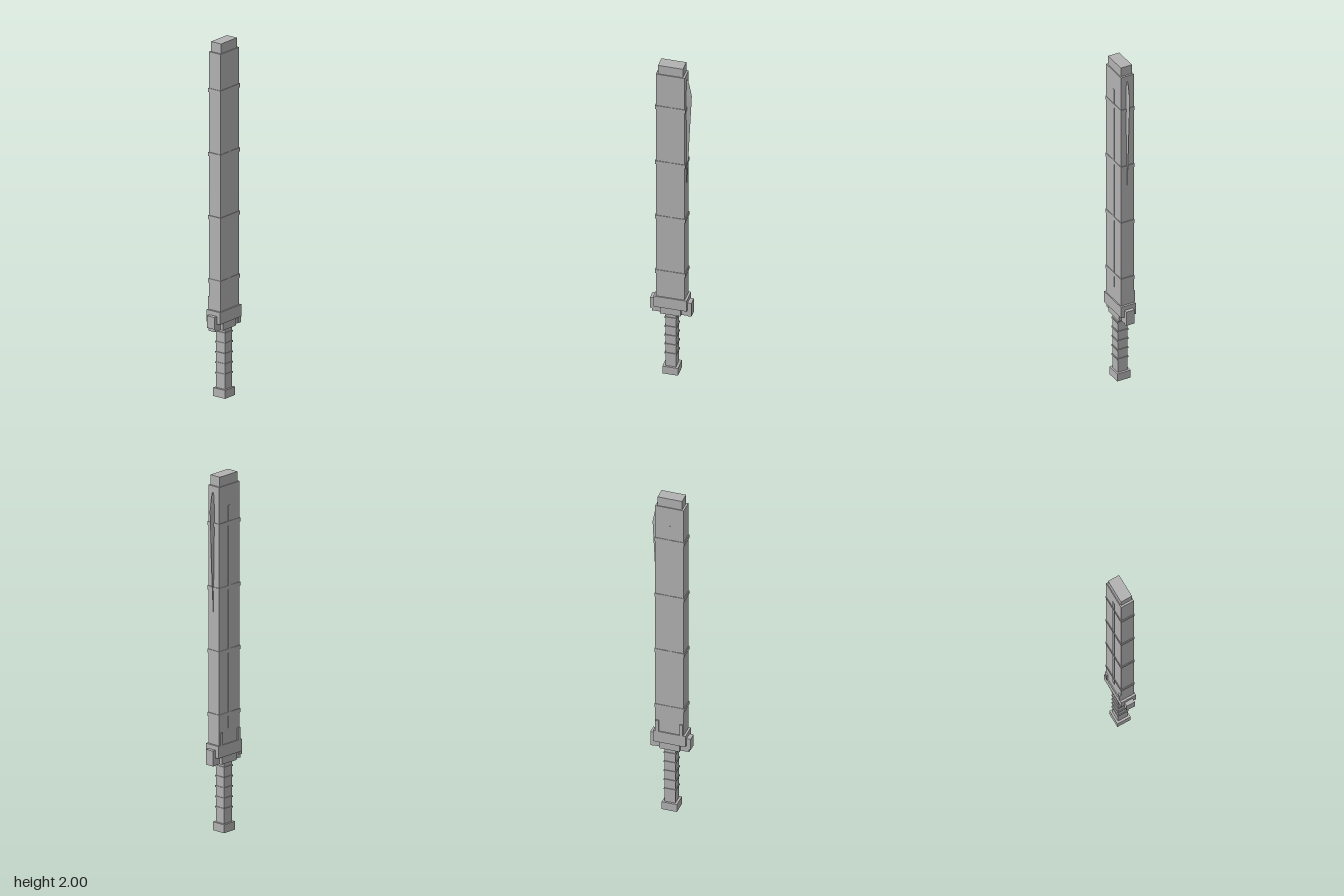
import * as THREE from 'three';

export function createModel() {
  const model = new THREE.Group();
  const grey = new THREE.MeshStandardMaterial({ color: 0xb2b2b2 });
  grey.name = 'plain grey';
  grey.flatShading = true;

  const add = (name, geometry) => {
    const mesh = new THREE.Mesh(geometry, grey);
    mesh.name = name;
    model.add(mesh);
    return mesh;
  };
  // Box given by its limits on each axis
  const box = (name, x0, x1, y0, y1, z0, z1) => {
    const g = new THREE.BoxGeometry(x1 - x0, y1 - y0, z1 - z0);
    g.translate((x0 + x1) / 2, (y0 + y1) / 2, (z0 + z1) / 2);
    return add(name, g);
  };
  // Box centred on the long axis
  const block = (name, hx, hz, y0, y1) => box(name, -hx, hx, y0, y1, -hz, hz);

  // Grip and pommel
  block('pommel', 0.043, 0.041, 0, 0.047);
  block('grip', 0.03, 0.03, 0.047, 0.39);
  for (let i = 0; i < 5; i++) {
    const y = 0.13 + i * 0.058;
    block('gripRing', 0.034, 0.034, y - 0.004, y + 0.004);
  }

  // Guard with upturned side arms
  block('collar', 0.057, 0.038, 0.387, 0.432);
  block('guard', 0.092, 0.045, 0.43, 0.498);
  box('leftGuardBar', 0.055, 0.11, 0.387, 0.425, -0.022, 0.022);
  box('rightGuardBar', -0.105, -0.055, 0.387, 0.425, -0.022, 0.022);
  box('leftGuardArm', 0.092, 0.113, 0.387, 0.473, -0.025, 0.025);
  box('rightGuardArm', -0.115, -0.092, 0.405, 0.473, -0.025, 0.025);

  // Thick body, end cap and raised bands
  block('body', 0.08, 0.039, 0.498, 1.945);
  block('endCap', 0.069, 0.034, 1.945, 2);
  for (const y of [0.66, 1.015, 1.37, 1.73]) {
    block('band', 0.084, 0.042, y - 0.011, y + 0.011);
  }

  // Thin centre strip on both faces and clips on the back
  for (const s of [-1, 1]) {
    const strip = box('centreStrip', -0.008, 0.008, 0.58, 1.83, -0.001, 0.001);
    strip.position.z = s * 0.0395;
    box('backClip', s * 0.068 - 0.009, s * 0.068 + 0.009, 0.498, 0.568, -0.048, -0.036);
  }

  // Leaf-shaped cutting fin on the left edge: [y, edge x, half thickness]
  const sections = [
    [1.24, 0.081, 0.001], [1.4, 0.09, 0.003], [1.6, 0.099, 0.006],
    [1.72, 0.105, 0.008], [1.81, 0.109, 0.008], [1.88, 0.096, 0.006], [1.91, 0.088, 0.001],
  ];
  const pos = [];
  const index = [];
  sections.forEach(([y, x, h], i) => {
    pos.push(0.078, y, 0.002 - h, x, y, 0.002, 0.078, y, 0.002 + h);
    if (i === 0) return;
    for (let k = 0; k < 3; k++) {
      const a = (i - 1) * 3 + k, b = (i - 1) * 3 + (k + 1) % 3;
      index.push(a, a + 3, b, b, a + 3, b + 3);
    }
  });
  const n = pos.length / 3;
  index.push(0, 1, 2, n - 3, n - 1, n - 2);
  const fin = new THREE.BufferGeometry();
  fin.setAttribute('position', new THREE.Float32BufferAttribute(pos, 3));
  fin.setIndex(index);
  const flatFin = fin.toNonIndexed();
  flatFin.computeVertexNormals();
  add('cuttingFin', flatFin);

  return model;
}
